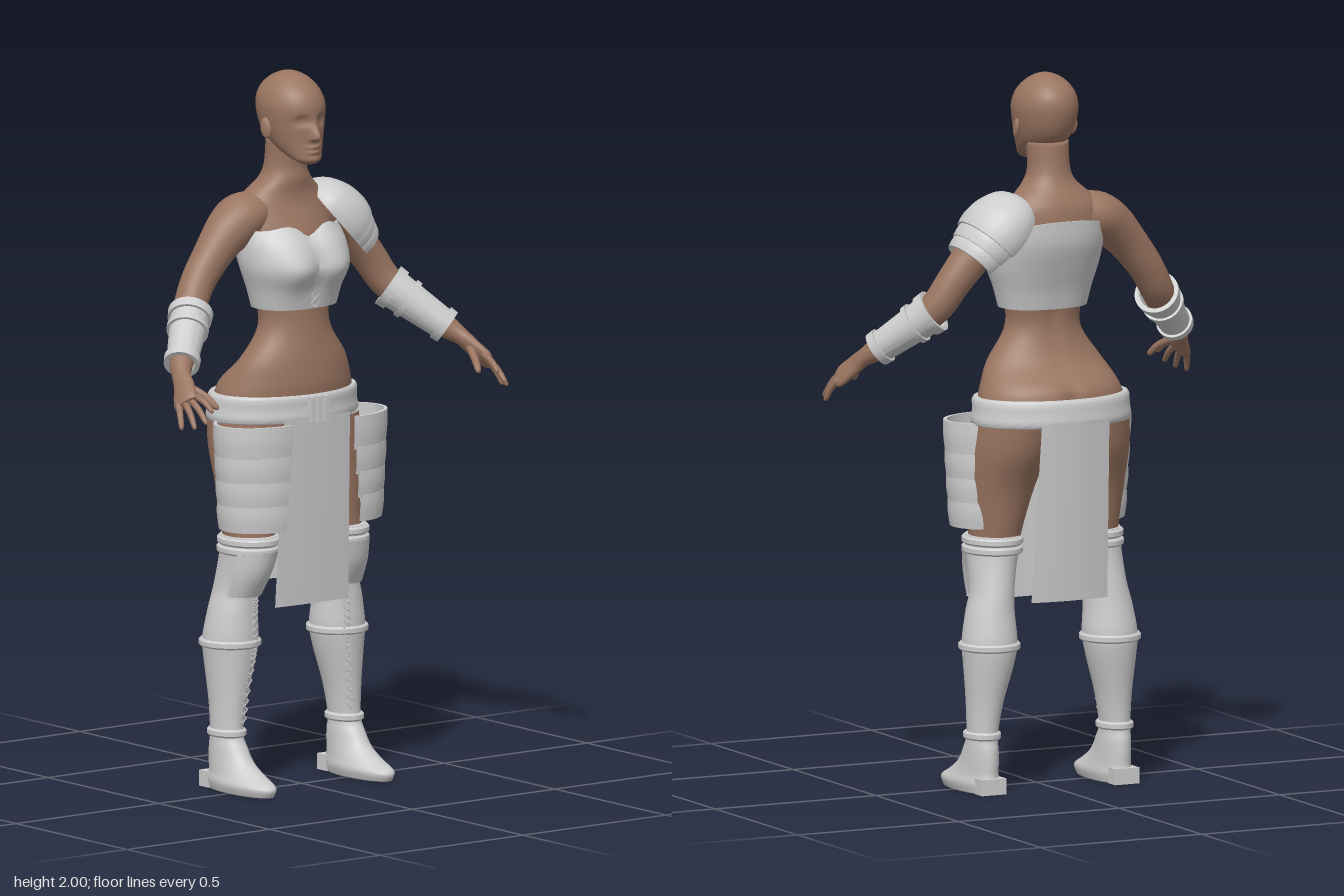
import * as THREE from 'three';
import { toCreasedNormals } from 'three/addons/utils/BufferGeometryUtils.js';

const skin = new THREE.MeshStandardMaterial({ color: 0x9a7561 });
skin.name = 'skin';
const armour = new THREE.MeshStandardMaterial({ color: 0xcccccc, side: THREE.DoubleSide });
armour.name = 'pale armour';

const UP = new THREE.Vector3(0, 1, 0), FRONT = new THREE.Vector3(0, 0, 1);
const bell = (v, w) => Math.exp(-((v / w) ** 2));
const mix = (a, b, t) => a.map((v, i) => v + (b[i] - v) * t);

// Catmull-Rom through cross-sections [x, y, z, half width, half depth]
function refine(secs, sub) {
  if (sub < 2) return secs;
  const out = [];
  for (let i = 0; i < secs.length - 1; i++) {
    const a = secs[Math.max(i - 1, 0)], b = secs[i], c = secs[i + 1], d = secs[Math.min(i + 2, secs.length - 1)];
    for (let s = 0; s < sub; s++) {
      const t = s / sub;
      out.push(b.map((p, k) => p + 0.5 * t * (c[k] - a[k] +
        t * (2 * a[k] - 5 * p + 4 * c[k] - d[k] + t * (3 * (p - c[k]) + d[k] - a[k])))));
    }
  }
  out.push(secs[secs.length - 1]);
  return out;
}

// Skin over cross-sections; arcs give open plates, thick gives a shell with edges
function loft(secs, { sub = 5, n = 36, a0 = 0, a1 = Math.PI * 2, side = 1, dir = UP, along = false,
  power = 1, thick = 0, cap = false, mod = null } = {}) {
  let rings = refine(secs, sub);
  const dirs = rings.map((r, i) => along
    ? new THREE.Vector3(...rings[Math.min(i + 1, rings.length - 1)].slice(0, 3))
      .sub(new THREE.Vector3(...rings[Math.max(i - 1, 0)].slice(0, 3))).normalize() : dir);
  const outer = rings.length;
  if (thick) {
    rings = [...rings, ...rings.map(r => [r[0], r[1], r[2], r[3] - thick, r[4] - thick]).reverse(), rings[0]];
    dirs.push(...dirs.slice().reverse(), dirs[0]);
  }
  const full = a1 - a0 > 6.28, m = full ? n : n + 1, pos = [], idx = [];
  const bend = v => Math.sign(v) * Math.abs(v) ** power;
  const tri = (a, b, c) => side > 0 ? idx.push(a, b, c) : idx.push(a, c, b);
  rings.forEach((r, j) => {
    const t = dirs[j], u = new THREE.Vector3().crossVectors(t, FRONT).normalize();
    const v = new THREE.Vector3().crossVectors(u, t);
    const f = j < outer ? j / (outer - 1) : Math.max(0, (2 * outer - 1 - j) / (outer - 1));
    for (let i = 0; i < m; i++) {
      const a = a0 + (a1 - a0) * i / n;
      const p = new THREE.Vector3(r[0], r[1], r[2])
        .addScaledVector(u, r[3] * bend(Math.sin(a))).addScaledVector(v, r[4] * bend(Math.cos(a)));
      if (mod) mod(p, Math.cos(a), f);
      pos.push(p.x * side, p.y, p.z);
    }
  });
  for (let j = 0; j < rings.length - 1; j++) for (let i = 0; i < n; i++) {
    const k = (i + 1) % m, p = j * m, q = p + m;
    tri(p + i, p + k, q + k);
    tri(p + i, q + k, q + i);
  }
  if (cap) {
    const last = rings.length - 1, c = pos.length / 3;
    for (const r of [rings[0], rings[last]]) pos.push(r[0] * side, r[1], r[2]);
    for (let i = 0; i < n; i++) {
      const k = (i + 1) % m;
      tri(c, k, i);
      tri(c + 1, last * m + i, last * m + k);
    }
  }
  const g = new THREE.BufferGeometry();
  g.setAttribute('position', new THREE.Float32BufferAttribute(pos, 3));
  g.setIndex(idx);
  if (thick) return toCreasedNormals(g, 0.7);
  g.computeVertexNormals();
  return g;
}

const TORSO = [[0, .89, -.07, .05, .07], [0, .95, -.08, .16, .115], [0, 1.04, -.087, .218, .146], [0, 1.1, -.083, .213, .145],
  [0, 1.14, -.073, .2, .137], [0, 1.2, -.042, .168, .1], [0, 1.28, -.035, .114, .08], [0, 1.35, -.04, .112, .08],
  [0, 1.45, -.055, .138, .1], [0, 1.55, -.08, .148, .102], [0, 1.62, -.093, .15, .086], [0, 1.66, -.09, .118, .075],
  [0, 1.7, -.077, .075, .066], [0, 1.74, -.073, .06, .058], [0, 1.81, -.065, .06, .058]];
const HEAD = [[0, 1.75, .035, .02, .015], [0, 1.763, .022, .042, .04], [0, 1.79, -.01, .06, .07], [0, 1.82, -.033, .073, .092],
  [0, 1.86, -.045, .084, .104], [0, 1.91, -.05, .089, .109], [0, 1.95, -.054, .077, .095], [0, 1.98, -.056, .052, .062],
  [0, 1.995, -.055, .025, .03], [0, 2, -.055, .004, .005]];
const BUST = [[0, 1.345, -.035, .127, .09], [0, 1.4, -.035, .14, .105], [0, 1.46, -.034, .157, .13],
  [0, 1.52, -.055, .16, .134], [0, 1.565, -.078, .155, .118]];
const THIGH = [[.155, .66, -.035, .066, .074], [.15, .74, -.045, .075, .08], [.14, .85, -.055, .095, .095],
  [.125, .95, -.075, .11, .12], [.115, 1.03, -.085, .113, .13]];
const BOOT = [[.207, 0, -.005, .05, .133], [.207, .025, -.003, .057, .138], [.206, .05, -.025, .051, .11], [.206, .08, -.05, .046, .085],
  [.206, .12, -.065, .043, .068], [.206, .16, -.072, .041, .054], [.2, .25, -.075, .05, .06], [.19, .36, -.08, .07, .075],
  [.187, .42, -.08, .077, .08], [.183, .5, -.075, .068, .073], [.175, .56, -.07, .061, .07], [.165, .63, -.05, .066, .08],
  [.157, .68, -.038, .073, .088], [.156, .715, -.038, .073, .088]];
const ARM = [[.09, 1.605, -.095, .06, .07], [.14, 1.595, -.095, .066, .078], [.19, 1.56, -.09, .064, .068], [.24, 1.51, -.086, .055, .055],
  [.3, 1.435, -.08, .049, .048], [.345, 1.365, -.06, .046, .047], [.405, 1.3, 0, .042, .043], [.463, 1.243, .055, .033, .034],
  [.49, 1.215, .09, .023, .028], [.505, 1.19, .12, .019, .034], [.525, 1.16, .152, .017, .039], [.532, 1.15, .165, .012, .034]];
// Fingers: knuckle and tip
const FINGERS = [[[.508, 1.175, .165], [.5, 1.135, .245]], [[.518, 1.165, .162], [.524, 1.105, .248]],
  [[.53, 1.157, .155], [.547, 1.09, .225]], [[.542, 1.15, .143], [.563, 1.085, .185]], [[.492, 1.19, .125], [.457, 1.135, .213]]];

// Brow, eye sockets, nose, lips and chin
function face(p, front) {
  if (front <= 0) return;
  const { x, y } = p, ax = Math.abs(x);
  p.z += .026 * bell(x, .013) * (y < 1.826 ? bell(y - 1.826, .009) : bell(y - 1.826, .032));
  p.z -= .013 * bell(ax - .033, .018) * bell(y - 1.873, .013);
  p.z += .005 * bell(ax - .033, .012) * bell(y - 1.872, .006);
  p.z += .007 * bell(x, .022) * (bell(y - 1.799, .006) + bell(y - 1.785, .006));
  p.z += .004 * bell(x, .02) * bell(y - 1.763, .01);
}

// Hanging panel that widens downwards
function cloth(yTop, yBottom, wTop, wBottom, zTop, zBottom, curl) {
  const g = new THREE.PlaneGeometry(2, 1, 10, 8), p = g.attributes.position;
  for (let i = 0; i < p.count; i++) {
    const s = p.getX(i), t = 0.5 - p.getY(i);
    p.setXYZ(i, s * (wTop + (wBottom - wTop) * t), yTop + (yBottom - yTop) * t, zTop + (zBottom - zTop) * t + curl * s * s);
  }
  g.computeVertexNormals();
  return g;
}

export function createModel() {
  const model = new THREE.Group();
  const add = (name, geo, mat = armour, x = 0, y = 0, z = 0) => {
    const mesh = new THREE.Mesh(geo, mat);
    mesh.name = name;
    mesh.position.set(x, y, z);
    model.add(mesh);
    return mesh;
  };
  const diamond = new THREE.TorusGeometry(.013, .0035, 4, 4);

  // Body
  add('torso', loft(TORSO, { n: 56, cap: true, mod: (p, c) => {
    if (c < 0) {
      p.z += .035 * bell(p.x, .02) * bell(p.y - 1.03, .09);
      p.z += .01 * bell(p.x, .025) * bell(p.y - 1.4, .15);
    }
  } }), skin);
  add('head', loft(HEAD, { n: 96, sub: 9, cap: true, mod: face }), skin);

  // Strapless top with sweetheart neckline
  add('bustTop', loft(BUST, { n: 64, power: .86, thick: .006, mod: (p, c, f) => {
    if (c > 0) {
      p.z += .012 * bell(Math.abs(p.x) - .075, .04) * bell(p.y - 1.45, .05) - .014 * bell(p.x, .025) * bell(p.y - 1.47, .07);
      p.y += f ** 4 * (.012 * bell(Math.abs(p.x) - .07, .04) - .022 * bell(p.x, .03));
    } else p.y += f ** 4 * .035 * -c;
  } }));
  for (const y of [1.362, 1.385]) add('bustLace', diamond, armour, 0, y, .062);

  // Belt, buckle loops and hanging cloths
  add('belt', loft([[0, 1.03, -.088, .232, .157], [0, 1.04, -.088, .237, .162], [0, 1.068, -.088, .232, .158],
    [0, 1.096, -.086, .232, .158], [0, 1.106, -.085, .226, .152]], { n: 64, sub: 2, thick: .012 }));
  for (const x of [-.025, 0, .025]) add('beltLoop', new THREE.BoxGeometry(.016, .072, .018), armour, x, 1.066, .078);
  add('frontCloth', cloth(1.045, .515, .115, .128, .077, .052, -.006));
  add('backCloth', cloth(1.04, .54, .105, .118, -.25, -.212, .012));

  // Layered pauldron on the left shoulder
  const axis = new THREE.Vector3(.7, -.714, 0).normalize();
  const bands = [[[-.127, .02, .045], [-.11, .055, .075], [-.085, .077, .097], [-.04, .095, .114], [.005, .1, .119], [.035, .095, .115]],
    [[.025, .088, .107], [.05, .088, .106], [.072, .083, .1]], [[.062, .078, .096], [.085, .079, .095], [.105, .074, .089]]];
  bands.forEach((band, i) => {
    // The ring's own half-width axis points down and in, so arcs are centred on its far side
    const secs = band.map(([t, r, d]) => [.17 + axis.x * t, 1.56 + axis.y * t, -.077, r, d]);
    const flip = new THREE.Vector3().crossVectors(axis, FRONT).y > 0 ? 0 : Math.PI;
    add('pauldronPlate' + (i + 1), loft(secs, { dir: axis, sub: 3, n: 40, thick: .007,
      a0: flip + Math.PI / 2 - 1.95, a1: flip + Math.PI / 2 + 1.95 }));
  });

  for (const side of [1, -1]) {
    const tag = side > 0 ? 'left' : 'right';
    const part = (name, secs, opts = {}, mat = armour) => add(tag + name, loft(secs, { ...opts, side }), mat);

    // Ear
    const ear = add(tag + 'Ear', new THREE.SphereGeometry(1, 16, 12), skin, side * .087, 1.848, -.048);
    ear.scale.set(.009, .03, .018);
    ear.rotation.set(-.2, side * -.3, 0);

    // Arm, hand and fingers
    part('Arm', ARM, { along: true, cap: true, n: 28 }, skin);
    FINGERS.forEach(([a, b], i) => {
      const mid = mix(a, b, .55), r = i === 4 ? .0115 : .0095;
      mid[1] += .008;
      part('Finger' + (i + 1), [[...a, r, r], [...mid, r * .95, r * .95], [...mix(mid, b, .8), r * .75, r * .75],
        [...b, .002, .002]], { along: true, cap: true, n: 10, sub: 3 }, skin);
    });

    // Bracer with raised cuffs
    const top = [.347, 1.355, -.053, .056, .056], end = [.465, 1.241, .058, .043, .043];
    part('Bracer', [top, end], { along: true, sub: 1, thick: .007 });
    for (const [t, w] of [[.06, .07], [.33, .04], [.95, .06]]) {
      const swell = s => mix(top, end, s).map((v, k) => k > 2 ? v + .007 : v);
      part('BracerCuff', [swell(t - w), swell(t + w)], { along: true, sub: 1, thick: .01 });
    }

    // Leg and boot
    part('Thigh', THIGH, {}, skin);
    part('Boot', BOOT, { cap: true });
    add(tag + 'Heel', new THREE.BoxGeometry(.075, .045, .045), armour, side * .207, .0225, -.125);
    const fine = refine(BOOT, 4);
    for (const y of [.16, .41, .675, .7]) {
      const s = fine.reduce((a, b) => Math.abs(b[1] - y) < Math.abs(a[1] - y) ? b : a);
      const ring = (dy, e) => [s[0], y + dy, s[2], s[3] + e, s[4] + e];
      part('BootBand', [ring(-.011, .004), ring(-.006, .009), ring(.006, .009), ring(.011, .004)], { sub: 1, thick: .012 });
    }
    part('KneeFlap', [[.176, .545, -.065, .064, .075], [.168, .61, -.05, .072, .095], [.158, .675, -.038, .079, .1]],
      { a0: -1.15, a1: 1.15, thick: .007 });
    for (const s of fine.filter(r => r[1] > .18 && r[1] < .55))
      add(tag + 'BootLace', diamond, armour, side * (s[0] - s[3] * .3), s[1], s[2] + s[4] * .96);

    // Four overlapping hip plates
    const rows = [1.035, .947, .877, .81, .743];
    for (let i = 0; i < 4; i++) {
      const r = .146 - .005 * i;
      part('HipPlate' + (i + 1), [[.136, rows[i + 1] - .006, -.005, r - .006, .107], [.136, (rows[i] + rows[i + 1]) / 2, -.005, r, .111],
        [.136, rows[i], -.005, r, .11]], { a0: -.17 + .045 * i, a1: 2.6, thick: .01, sub: 3 });
    }
  }
  return model;
}
